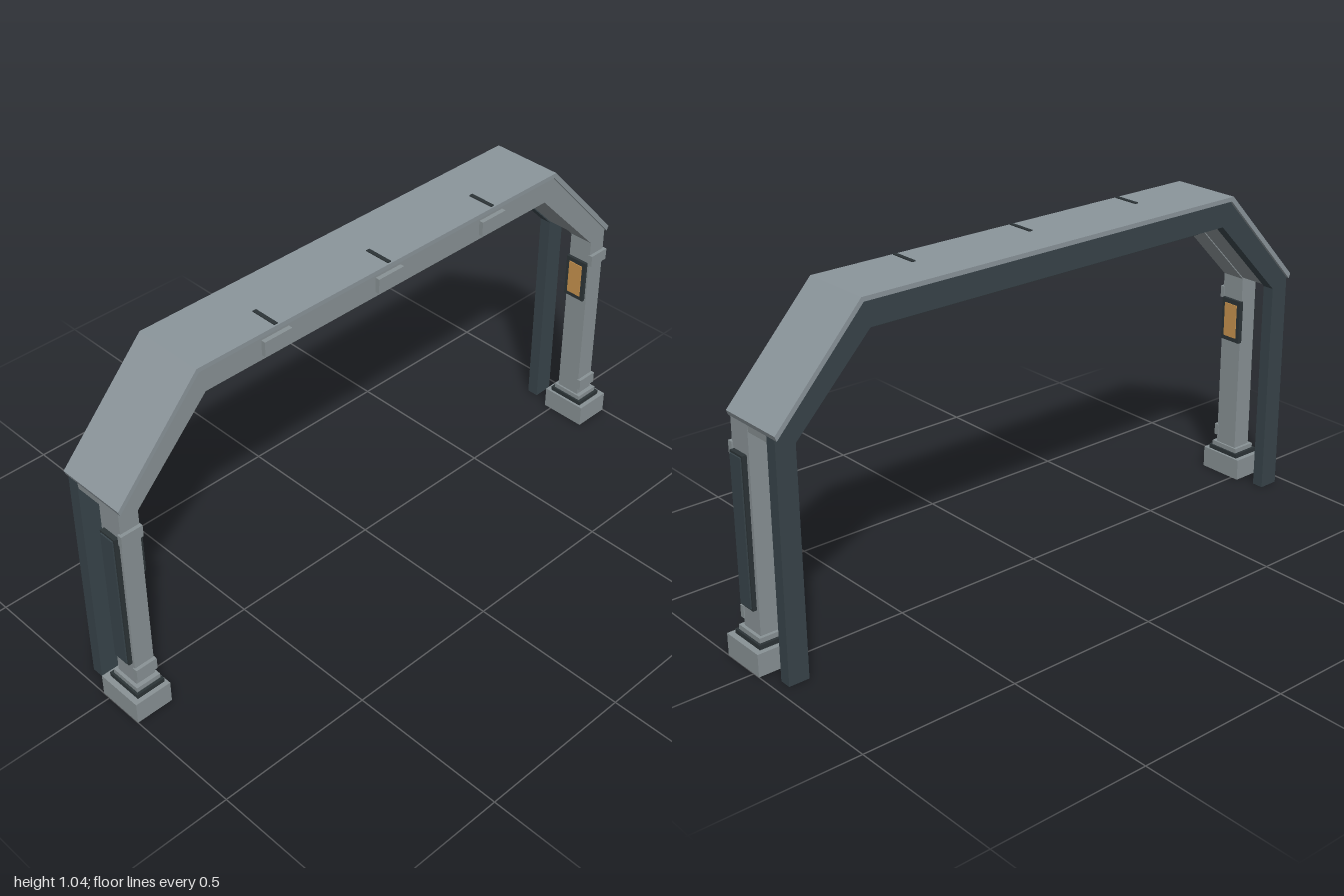
import * as THREE from 'three';

const mat = (name, color) => {
  const m = new THREE.MeshStandardMaterial({ color });
  m.name = name;
  return m;
};

export function createModel() {
  const steel = mat('steel grey', 0x899295);
  const roof = mat('roof grey', 0x8b959b);
  const dark = mat('dark slate', 0x38444a);
  const trim = mat('charcoal trim', 0x2c3437);
  const amber = mat('amber lamp', 0xc8934f);

  const root = new THREE.Group();
  root.name = 'gateway';

  // box given by its min and max corners
  const box = (parent, name, m, [x0, x1], [y0, y1], [z0, z1]) => {
    const mesh = new THREE.Mesh(new THREE.BoxGeometry(x1 - x0, y1 - y0, z1 - z0), m);
    mesh.position.set((x0 + x1) / 2, (y0 + y1) / 2, (z0 + z1) / 2);
    mesh.name = name;
    parent.add(mesh);
    return mesh;
  };

  // symmetric band: half outlines (outer and inner, from foot to centre) extruded in z
  const arch = (name, m, outer, inner, z0, z1) => {
    const flip = (p) => p.map(([x, y]) => [-x, y]);
    const loop = [
      ...outer, ...flip(outer).reverse(),
      ...flip(inner), ...[...inner].reverse(),
    ].map(([x, y]) => new THREE.Vector2(x, y));
    const geo = new THREE.ExtrudeGeometry(new THREE.Shape(loop), { depth: z1 - z0, bevelEnabled: false });
    const mesh = new THREE.Mesh(geo, m);
    mesh.position.z = z0;
    mesh.name = name;
    root.add(mesh);
  };

  // main frames: front steel arch, dark rear arch and the soffit joining them
  const outer = [[0.962, 0.725], [0.68, 1.028]];
  const inner = [[0.9, 0.695], [0.655, 0.948]];
  arch('frontArch', steel, [[0.965, 0.09], ...outer], [[0.9, 0.09], ...inner], 0.01, 0.09);
  arch('rearArch', dark, [[0.965, 0], ...outer], [[0.9, 0], ...inner], -0.118, -0.08);
  arch('soffit', steel, [[0.96, 0.7], ...outer], [[0.9, 0.7], [0.655, 0.952]], -0.08, 0.01);

  // folded roof plate over both arches
  arch('roofPlate', roof, [[0.968, 0.735], [0.687, 1.04]], [[0.962, 0.72], [0.68, 1.026]], -0.128, 0.1);

  // lamp hung below the beam
  box(root, 'lampMount', steel, [-0.57, 0.57], [0.936, 0.955], [-0.055, -0.015]);
  box(root, 'lampHousing', trim, [-0.6, 0.6], [0.924, 0.938], [-0.068, -0.002]);
  box(root, 'lampBezel', trim, [-0.565, 0.565], [0.918, 0.925], [-0.053, -0.017]);
  box(root, 'lampStrip', amber, [-0.55, 0.55], [0.916, 0.919], [-0.047, -0.023]);

  // beam face plates and roof seams
  for (const x of [-0.415, 0, 0.415]) {
    box(root, 'beamPlate', steel, [x - 0.048, x + 0.048], [0.963, 1.01], [0.088, 0.104]);
    box(root, 'roofSeam', trim, [x - 0.006, x + 0.006], [1.038, 1.043], [0.01, 0.095]);
  }

  // column fittings on both sides
  for (const s of [1, -1]) {
    const side = new THREE.Group();
    side.name = s > 0 ? 'leftColumn' : 'rightColumn';
    const add = (name, m, [a, b], y, z) =>
      box(side, name, m, s > 0 ? [a, b] : [-b, -a], y, z);

    // stepped foot
    add('plinth', steel, [0.88, 1.0], [0, 0.07], [-0.025, 0.128]);
    add('footGasket', trim, [0.888, 0.982], [0.07, 0.084], [-0.009, 0.113]);
    add('footCollar', steel, [0.894, 0.975], [0.084, 0.099], [0, 0.104]);

    // front clamps
    for (const y of [0.122, 0.612])
      add('clamp', steel, [0.898, 0.968], [y, y + 0.038], [0.085, 0.101]);

    // outer service panel
    add('sidePanelRim', trim, [0.96, 0.977], [0.174, 0.632], [0.021, 0.081]);
    add('sidePanel', dark, [0.97, 0.981], [0.18, 0.626], [0.026, 0.076]);

    // inner wall lamp
    add('wallLampFrame', trim, [0.89, 0.905], [0.475, 0.618], [0.008, 0.084]);
    add('wallLamp', amber, [0.887, 0.892], [0.49, 0.603], [0.021, 0.071]);
    root.add(side);
  }
  return root;
}
